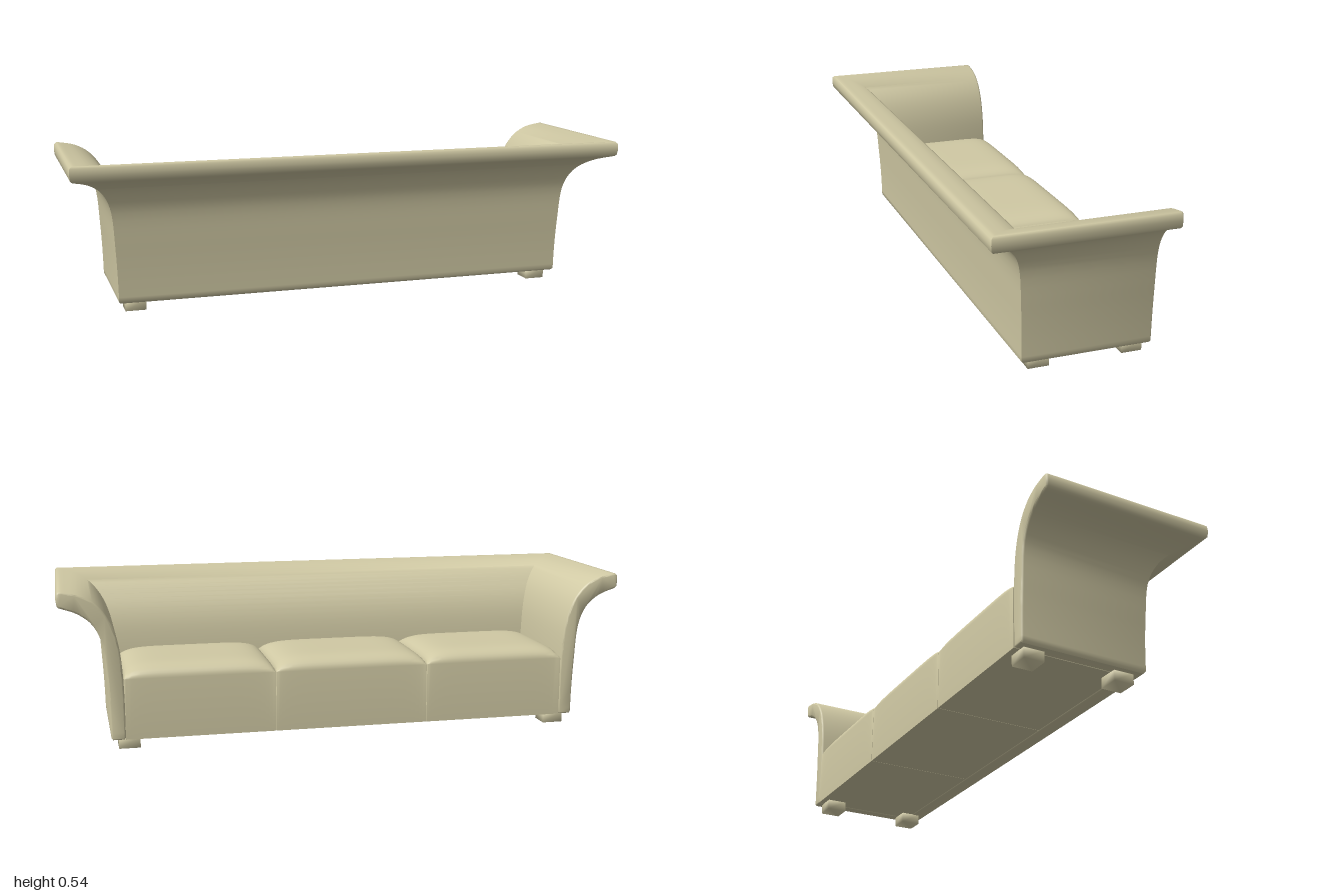
import * as THREE from 'three';
import { toCreasedNormals } from 'three/addons/utils/BufferGeometryUtils.js';

const V2 = (x, y) => new THREE.Vector2(x, y);
const spline = (pts, n) => new THREE.SplineCurve(pts.map(p => V2(...p))).getPoints(n);

// Flared wall section: x = distance out from the body, y = height (counter-clockwise)
function wallProfile() {
  const outer = spline([[0, 0.042], [0.002, 0.13], [0.007, 0.23], [0.017, 0.35],
    [0.045, 0.42], [0.093, 0.461], [0.152, 0.483]], 24);
  const lip = [[0.158, 0.489], [0.161, 0.51], [0.159, 0.529], [0.153, 0.535]].map(p => V2(...p));
  const inner = spline([[0.142, 0.535], [0.085, 0.523], [0.035, 0.493], [-0.005, 0.44],
    [-0.031, 0.365], [-0.043, 0.27], [-0.047, 0.15], [-0.047, 0.042]], 28);
  return [...outer, ...lip, ...inner, V2(-0.042, 0.035), V2(-0.005, 0.035)];
}

// Shrinks a closed section slightly, for the rounded arm fronts
function inset(loop, r) {
  return loop.map((p, i) => {
    const a = loop[(i + loop.length - 1) % loop.length], b = loop[(i + 1) % loop.length];
    const t = b.clone().sub(a).normalize();
    return V2(p.x - t.y * r, p.y + t.x * r);
  });
}

// One continuous wall: left arm, mitred back, right arm
function wallGeometry() {
  const full = wallProfile(), mid = inset(full, 0.002), small = inset(full, 0.006);
  const U = 0.812, V = 0.143;
  const backD = d => (d < 0 ? d * 1.28 : d);
  const arm = (loop, side, z) => loop.map(p => [side * (U + p.x), p.y, z]);
  const corner = side => full.map(p => [side * (U + p.x), p.y, V + backD(p.x)]);
  const stations = [
    arm(small, 1, -0.302), arm(mid, 1, -0.3), arm(full, 1, -0.295), corner(1),
    corner(-1), arm(full, -1, -0.295), arm(mid, -1, -0.3), arm(small, -1, -0.302),
  ];
  const n = full.length, pos = [], index = [];
  stations.forEach(s => s.forEach(p => pos.push(...p)));
  for (let i = 0; i < stations.length - 1; i++) {
    for (let j = 0; j < n; j++) {
      const k = (j + 1) % n;
      const a = i * n + j, b = i * n + k, c = (i + 1) * n + k, d = (i + 1) * n + j;
      index.push(a, b, c, a, c, d);
    }
  }
  // Front faces of the two arms
  const last = (stations.length - 1) * n;
  for (const [a, b, c] of THREE.ShapeUtils.triangulateShape(small, [])) {
    index.push(a, c, b, last + a, last + b, last + c);
  }
  const g = new THREE.BufferGeometry();
  g.setAttribute('position', new THREE.Float32BufferAttribute(pos, 3));
  g.setIndex(index);
  return toCreasedNormals(g, 0.9);
}

// Seat block with a softly domed top that rolls over at its edges
function cushionGeometry(x0, x1, z0, z1) {
  const g = new THREE.BoxGeometry(2, 2, 2, 28, 1, 28);
  const p = g.attributes.position;
  for (let i = 0; i < p.count; i++) {
    const s = Math.sin(p.getX(i) * Math.PI / 2), t = Math.sin(p.getZ(i) * Math.PI / 2);
    const dome = Math.sqrt(Math.max(0, (1 - s ** 6) * (1 - t ** 6)));
    p.setXYZ(i, x0 + (s + 1) / 2 * (x1 - x0),
      p.getY(i) > 0 ? 0.24 + 0.045 * dome : 0.036,
      z0 + (t + 1) / 2 * (z1 - z0));
  }
  return toCreasedNormals(g, 0.9);
}

export function createModel() {
  const model = new THREE.Group();
  model.name = 'sofa';
  const fabric = new THREE.MeshStandardMaterial({ color: 0xd0c9a4 });
  fabric.name = 'beige fabric';
  const add = (name, geometry) => {
    const m = new THREE.Mesh(geometry, fabric);
    m.name = name;
    model.add(m);
    return m;
  };

  add('backAndArms', wallGeometry());

  // Three seat blocks side by side
  const seams = [-0.766, -0.271, 0.259, 0.766];
  for (let i = 0; i < 3; i++) {
    add('seatCushion', cushionGeometry(seams[i] + 0.001, seams[i + 1] - 0.001, -0.302, 0.084));
  }

  // Four square feet
  const foot = toCreasedNormals(new THREE.BoxGeometry(0.071, 0.037, 0.071), Math.PI);
  for (const x of [-0.752, 0.752]) {
    for (const z of [-0.245, 0.077]) add('foot', foot).position.set(x, 0.0185, z);
  }

  // The sofa stands slightly turned
  model.rotation.y = -THREE.MathUtils.degToRad(5);
  const root = new THREE.Group();
  root.name = 'turnedSofa';
  root.add(model);
  return root;
}
